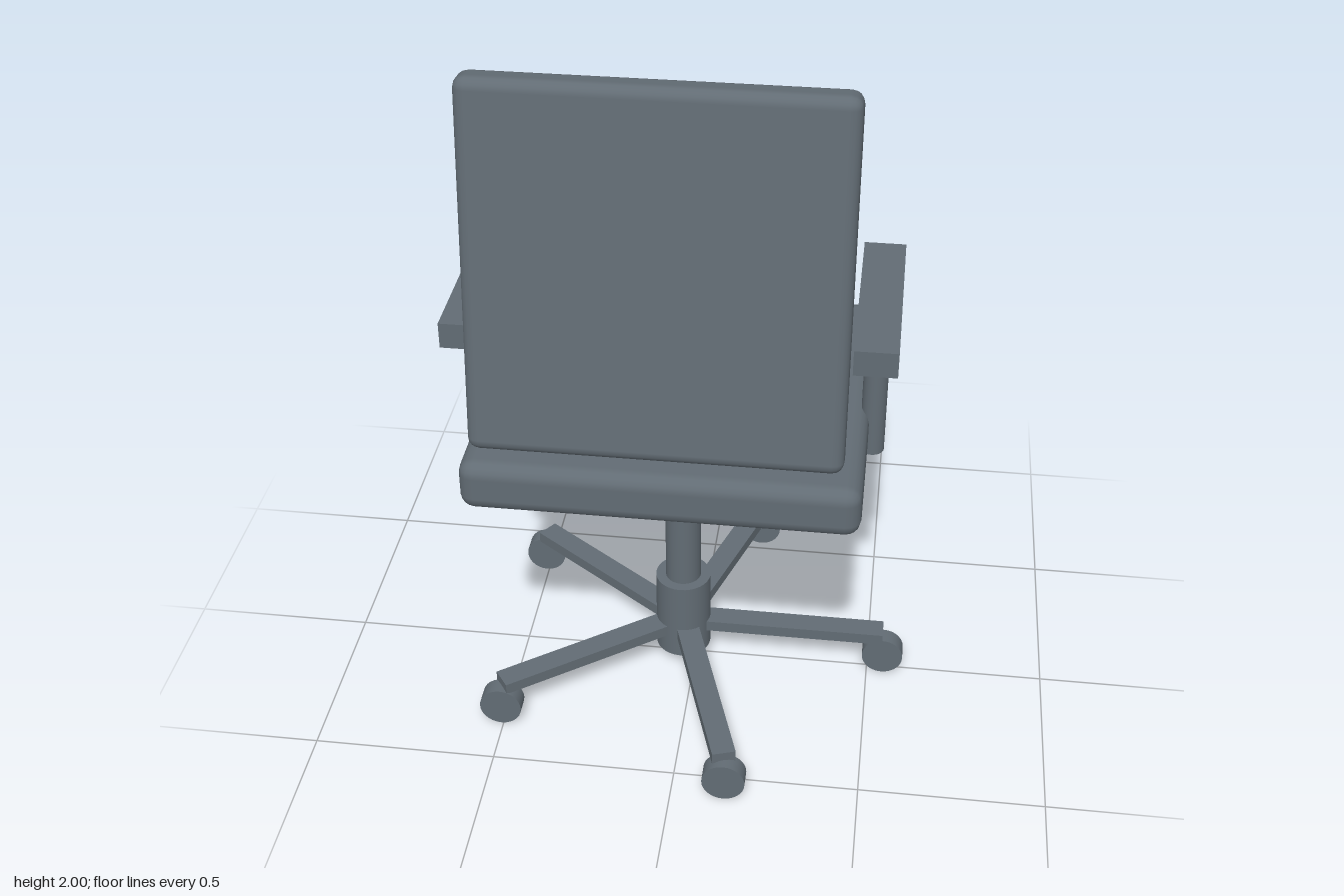
import * as THREE from 'three';
import { RoundedBoxGeometry } from 'three/addons/geometries/RoundedBoxGeometry.js';

export function createModel() {
  const chair = new THREE.Group();
  chair.name = 'officeChair';
  chair.position.x = -0.037; // column axis; one caster reaches further to +x

  const grey = new THREE.MeshStandardMaterial({ color: 0x626c74 });
  grey.name = 'slateGrey';

  const add = (name, geometry, x, y, z, parent = chair) => {
    const mesh = new THREE.Mesh(geometry, grey);
    mesh.name = name;
    mesh.position.set(x, y, z);
    parent.add(mesh);
    return mesh;
  };

  // Cushions with softly rounded edges
  add('seat', new RoundedBoxGeometry(1.005, 0.14, 0.92, 2, 0.04), 0, 0.915, 0.04);
  const back = add('backrest', new RoundedBoxGeometry(0.91, 0.936, 0.09, 2, 0.03), 0, 1.533, 0.455);
  back.rotation.x = -0.115;

  // Armrests on round posts
  for (const [side, s] of [['left', 1], ['right', -1]]) {
    add(side + 'Armrest', new THREE.BoxGeometry(0.11, 0.07, 0.54), s * 0.513, 1.242, 0.04);
    add(side + 'ArmPost', new THREE.CylinderGeometry(0.032, 0.032, 0.36, 24), s * 0.513, 1.03, 0.105);
  }

  // Gas column and hub
  add('column', new THREE.CylinderGeometry(0.05, 0.05, 0.5, 32), 0, 0.535, 0);
  add('hub', new THREE.CylinderGeometry(0.078, 0.078, 0.245, 32), 0, 0.1675, 0);

  // Five-star base; every caster rolls along x
  const legGeometry = new THREE.BoxGeometry(0.518, 0.033, 0.064);
  const casterGeometry = new THREE.CylinderGeometry(0.058, 0.058, 0.05, 28).rotateX(Math.PI / 2);
  for (let i = 0; i < 5; i++) {
    const a = (i * Math.PI * 2) / 5;
    const leg = add('baseLeg' + (i + 1), legGeometry, Math.cos(a) * 0.319, 0.125, Math.sin(a) * 0.319);
    leg.rotation.y = -a;
    add('caster' + (i + 1), casterGeometry, Math.cos(a) * 0.58, 0.058, Math.sin(a) * 0.58);
  }

  const model = new THREE.Group();
  model.name = 'model';
  model.add(chair);
  return model;
}
